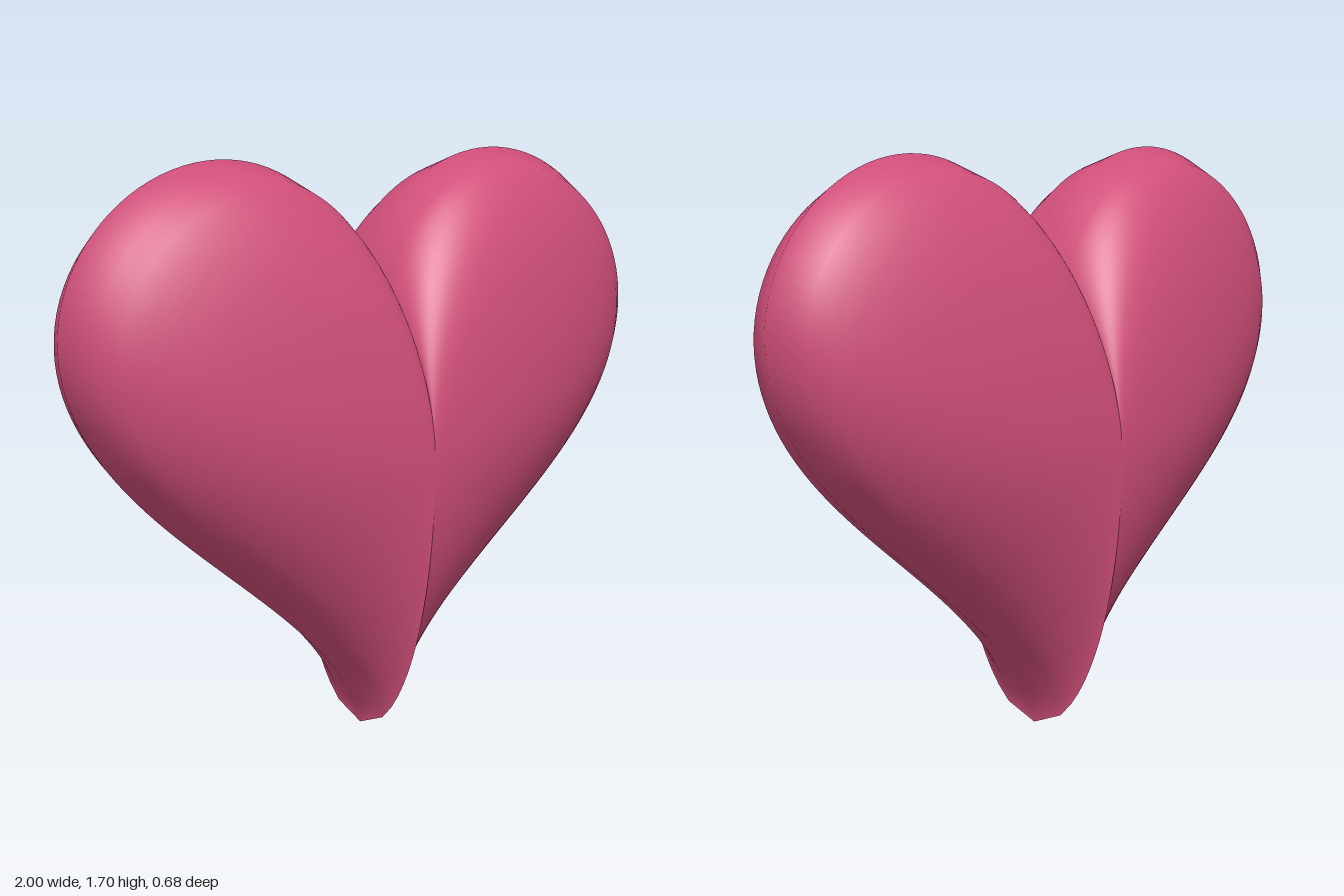
import * as THREE from 'three';

const HALF_DEPTH = 0.34;
const CENTRE_Y = 0.85;
const RINGS = 20; // rings from the middle of a face out to the rim
const STEPS = 100; // steps along half of the outline

// Heart curve: t = 0 is the notch, t = PI the bottom tip
function outline(t) {
  const x = Math.sin(t) ** 3;
  const y = 13 * Math.cos(t) - 5 * Math.cos(2 * t) - 2 * Math.cos(3 * t) - Math.cos(4 * t);
  return [x, (y + 17) * 0.0588];
}

// One lobe: the outline shrinks towards the centre while z follows an ellipse
function lobeGeometry(startAngle) {
  const positions = [];
  const indices = [];
  const row = STEPS + 1;
  for (let j = 0; j <= 2 * RINGS; j++) {
    const r = 1 - Math.abs(j - RINGS) / RINGS;
    const z = Math.sign(RINGS - j) * HALF_DEPTH * Math.sqrt(1 - r * r);
    for (let i = 0; i <= STEPS; i++) {
      const [x, y] = outline(startAngle + (Math.PI * i) / STEPS);
      positions.push(x * r, CENTRE_Y + (y - CENTRE_Y) * r, z);
    }
  }
  for (let j = 0; j < 2 * RINGS; j++) {
    for (let i = 0; i < STEPS; i++) {
      const a = j * row + i;
      const b = a + row;
      if (j < 2 * RINGS - 1) indices.push(a, b + 1, b);
      if (j > 0) indices.push(a, a + 1, b + 1);
    }
  }
  // The last ring is a single point, so close it with one triangle per step
  const last = (2 * RINGS - 1) * row;
  for (let i = 0; i < STEPS; i++) indices.push(last + i, last + i + 1, last + row + i);

  const geometry = new THREE.BufferGeometry();
  geometry.setAttribute('position', new THREE.Float32BufferAttribute(positions, 3));
  geometry.setIndex(indices);
  geometry.computeVertexNormals();
  // Both poles face straight forward and back
  const normals = geometry.attributes.normal;
  for (let i = 0; i < row; i++) {
    normals.setXYZ(i, 0, 0, 1);
    normals.setXYZ(2 * RINGS * row + i, 0, 0, -1);
  }
  return geometry;
}

export function createModel() {
  const rose = new THREE.MeshStandardMaterial({ color: 0xd14f7a });
  rose.name = 'rose';

  const heart = new THREE.Group();
  heart.name = 'heart';
  // Separate lobes keep the crease between them sharp
  for (const [name, start] of [['leftLobe', 0], ['rightLobe', Math.PI]]) {
    const lobe = new THREE.Mesh(lobeGeometry(start), rose);
    lobe.name = name;
    heart.add(lobe);
  }
  return heart;
}
